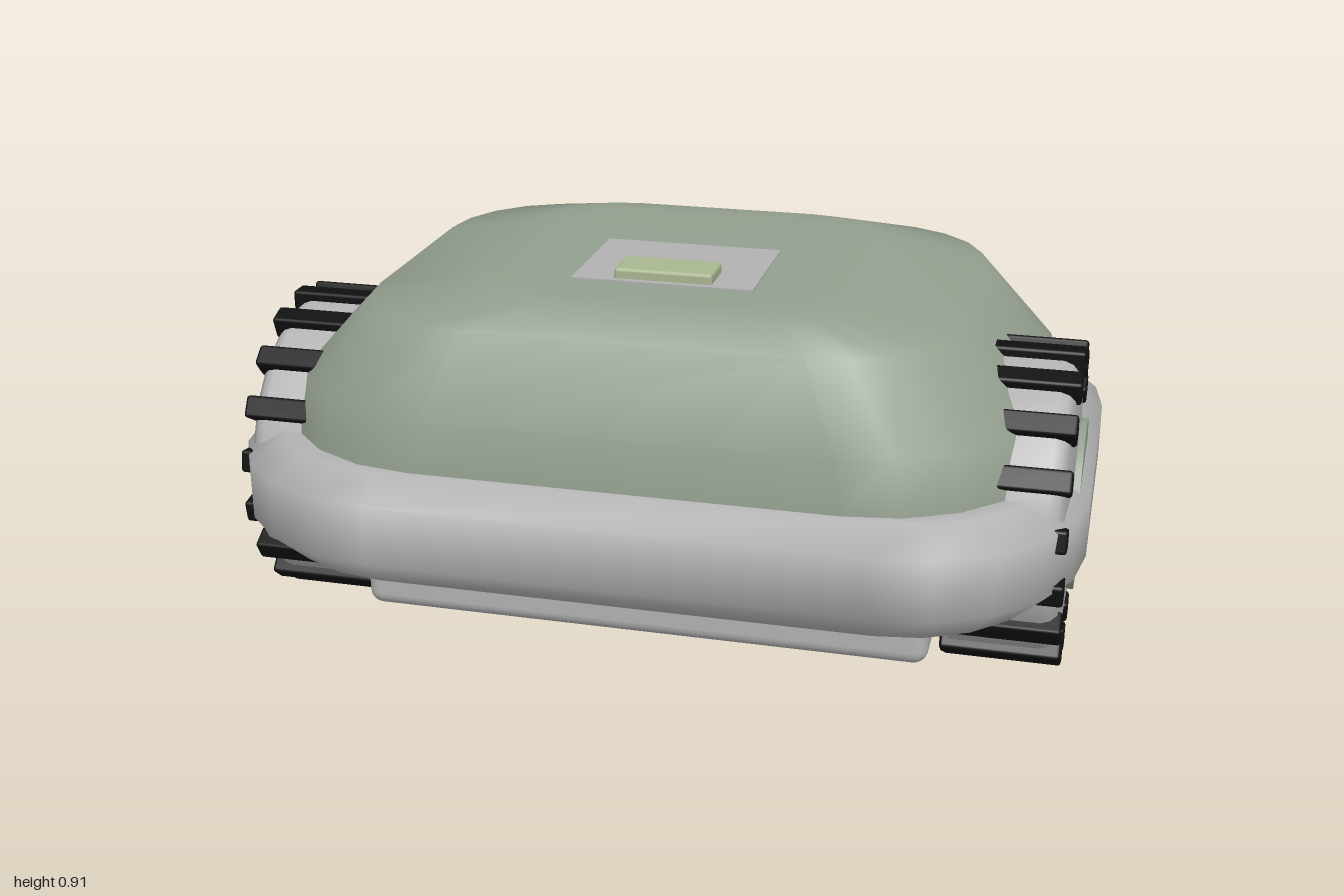
import * as THREE from 'three';
import { RoundedBoxGeometry } from 'three/addons/geometries/RoundedBoxGeometry.js';

const material = (name, color) => {
  const m = new THREE.MeshStandardMaterial({ color });
  m.name = name;
  return m;
};

// Rounded rectangle in plan: half width, half depth, corner radius
function roundedRect(hw, hd, r, y, segments = 5) {
  const points = [];
  [[1, 1], [-1, 1], [-1, -1], [1, -1]].forEach(([sx, sz], corner) => {
    for (let i = 0; i <= segments; i++) {
      const a = (corner + i / segments) * Math.PI / 2;
      points.push([sx * (hw - r) + r * Math.cos(a), y, sz * (hd - r) + r * Math.sin(a)]);
    }
  });
  return points;
}

// Smooth skin through a stack of rounded rectangles, listed bottom to top
function loft(levels) {
  const rings = levels.map((l) => roundedRect(...l));
  const n = rings[0].length;
  const index = [];
  for (let l = 0; l < rings.length - 1; l++) {
    for (let i = 0; i < n; i++) {
      const a = l * n + i, b = l * n + (i + 1) % n;
      index.push(a, a + n, b, b, a + n, b + n);
    }
  }
  const g = new THREE.BufferGeometry();
  g.setAttribute('position', new THREE.Float32BufferAttribute(rings.flat(2), 3));
  g.setIndex(index);
  g.computeVertexNormals();
  return g;
}

export function createModel() {
  const grey = material('light grey', 0xb2b2b2);
  const green = material('sage green', 0x939f8f);
  const lime = material('pale green', 0xa9b790);
  const black = material('tread black', 0x101010);

  const model = new THREE.Group();
  model.name = 'robotMower';
  const add = (name, geometry, mat, x = 0, y = 0, z = 0, parent = model) => {
    const mesh = new THREE.Mesh(geometry, mat);
    mesh.name = name;
    mesh.position.set(x, y, z);
    parent.add(mesh);
    return mesh;
  };

  // Bumper ring with a closed underside
  const bumper = [[0.28, 0.25], [0.12, 0.25], [0.085, 0.25], [0, 0.33], [0, 0.47], [0.085, 0.52], [0.12, 0.52], [0.28, 0.52]]
    .map(([d, y]) => [1 - d, 0.727 - d, 0.43 - d, y]);
  add('bumper', loft([[0, 0, 0, 0.25], ...bumper]), grey);

  // Domed shell
  add('shell', loft([
    [0.91, 0.635, 0.42, 0.45],
    [0.91, 0.63, 0.42, 0.52],
    [0.88, 0.615, 0.41, 0.64],
    [0.69, 0.545, 0.3, 0.835],
    [0.43, 0.43, 0.2, 0.88],
    [0.36, 0.36, 0.17, 0.882],
    [0, 0, 0, 0.882],
  ]), green);

  // Control plate and button
  add('controlPlate', new THREE.BoxGeometry(0.43, 0.008, 0.326), grey, 0, 0.882, 0.092);
  add('button', new RoundedBoxGeometry(0.232, 0.04, 0.11, 2, 0.008), lime, 0, 0.89, 0.185);

  // Chassis under the shell
  add('chassis', new RoundedBoxGeometry(1.346, 0.22, 0.97, 3, 0.035), grey, 0, 0.208, 0.003);

  // Rear caster roller
  const casterProfile = [[0, -0.072], [0.125, -0.072], [0.14, -0.06], [0.14, 0.06], [0.125, 0.072], [0, 0.072]]
    .map(([r, y]) => new THREE.Vector2(r, y));
  add('caster', new THREE.LatheGeometry(casterProfile, 32), grey, 0, 0.177, -0.49).rotation.z = -Math.PI / 2;

  // Drive wheels: axle along x, inner side at low profile values
  const wheelProfile = [[0, -0.135], [0.33, -0.135], [0.36, -0.115], [0.36, 0.09], [0.352, 0.11], [0.335, 0.125], [0.2, 0.135], [0, 0.135]]
    .map(([r, y]) => new THREE.Vector2(r, y));
  const wheelGeometry = new THREE.LatheGeometry(wheelProfile, 40);
  const hubGeometry = new THREE.CylinderGeometry(0.2, 0.2, 0.03, 32);
  const lugGeometry = new RoundedBoxGeometry(0.274, 0.06, 0.054, 2, 0.008);

  for (const side of [1, -1]) {
    const wheel = new THREE.Group();
    wheel.name = side > 0 ? 'leftWheel' : 'rightWheel';
    wheel.position.set(side * 0.826, 0.385, 0.132);
    wheel.rotation.y = side > 0 ? 0 : Math.PI;
    model.add(wheel);

    add('tyre', wheelGeometry, grey, 0, 0, 0, wheel).rotation.z = -Math.PI / 2;
    add('hub', hubGeometry, green, 0.135, 0, 0, wheel).rotation.z = -Math.PI / 2;

    // Tread lugs
    for (let i = 0; i < 18; i++) {
      const a = i / 18 * Math.PI * 2;
      add('treadLug', lugGeometry, black, 0, Math.cos(a) * 0.35, Math.sin(a) * 0.35, wheel).rotation.x = a;
    }

    // Rear tabs standing on the bumper
    add('rearTab', new THREE.BoxGeometry(0.234, 0.075, 0.026), grey, side * 0.598, 0.517, -0.674);
  }
  return model;
}
